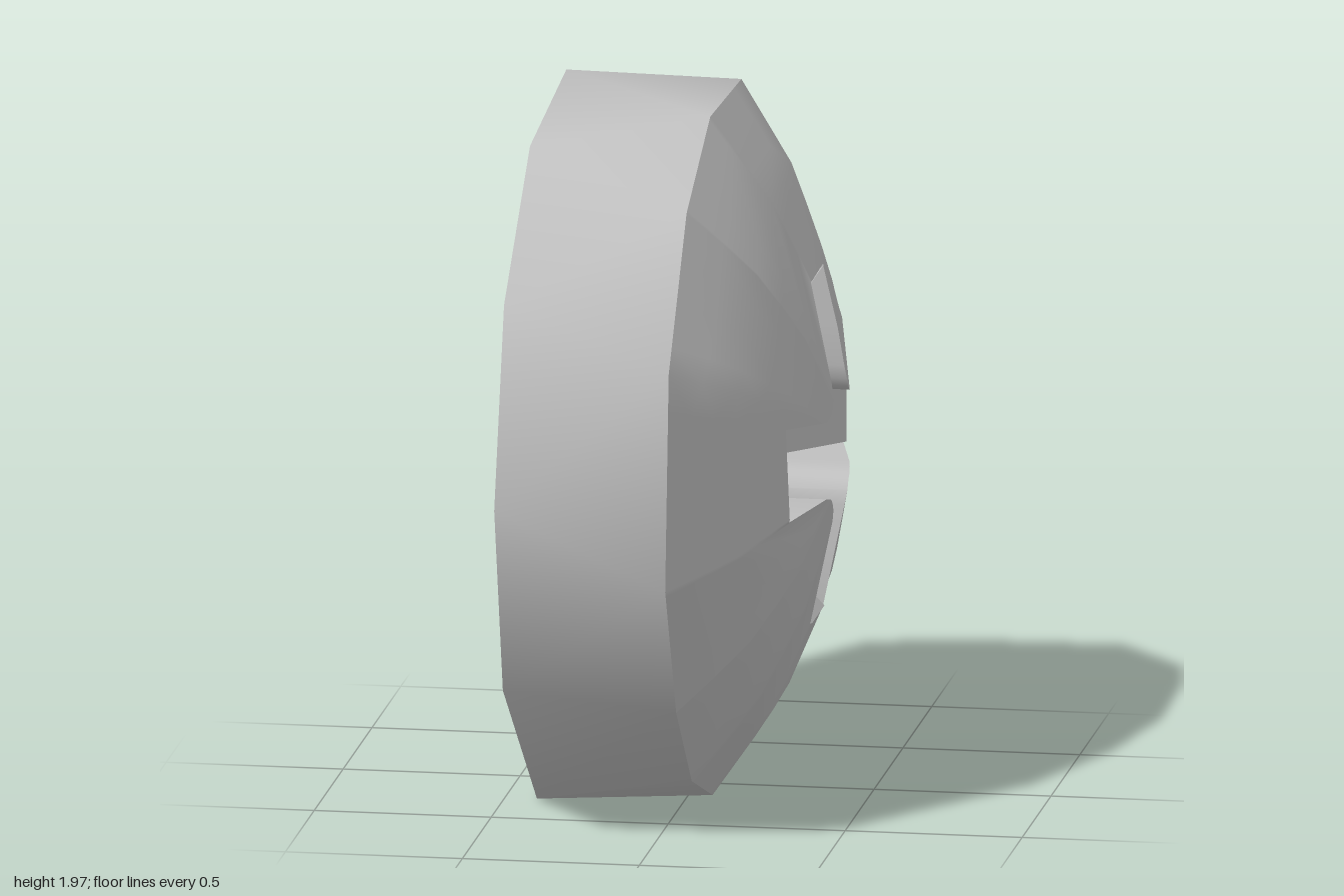
import * as THREE from 'three';
import { toCreasedNormals } from 'three/addons/utils/BufferGeometryUtils.js';

const CY = 0.985; // height of the head's axis, which runs along x
const angleOf = (p) => Math.atan2(p[1], p[0]);
const lerp = THREE.MathUtils.lerp;

// Cross-sections are [z, y] points, re-centred on the axis and sorted by angle
const ring = (pts) => pts.map(([z, y]) => [z, y - CY]).sort((a, b) => angleOf(a) - angleOf(b));

const frontRim = ring([[0.2, 1.96], [-0.34, 1.94], [-0.8, 1.57], [-0.985, 1.16], [-0.92, 0.59],
  [-0.61, 0.2], [-0.21, 0.02], [0.16, 0.005], [0.52, 0.13], [0.79, 0.39], [0.98, 0.78],
  [0.92, 1.39], [0.61, 1.78]]);
const backRim = ring([[-0.25, 1.97], [-0.73, 1.66], [-1, 1.14], [-0.83, 0.42], [-0.39, 0.07],
  [0.26, 0], [0.85, 0.45], [1, 1], [0.83, 1.55], [0.38, 1.9]]);

// Cross-shaped opening: four arms with rounded corners between them
const cross = [];
const arms = [];
for (let k = 0; k < 4; k++) {
  const c = Math.round(Math.cos(k * Math.PI / 2)), s = Math.round(Math.sin(k * Math.PI / 2));
  const turn = ([a, b]) => [a * c - b * s, a * s + b * c];
  const arm = [[0.2, -0.11], [0.49, -0.11], [0.49, k === 0 ? 0.155 : 0.11], [0.2, 0.11]].map(turn);
  arms.push(arm);
  cross.push(...arm, ...[[0.16, 0.12], [0.136, 0.136], [0.12, 0.16]].map(turn));
}

// Distance from the axis to a star-shaped outline along an angle
function reach(outline, angle) {
  const dx = Math.cos(angle), dy = Math.sin(angle);
  let best = 0;
  outline.forEach((p, i) => {
    const q = outline[(i + 1) % outline.length];
    const ex = q[0] - p[0], ey = q[1] - p[1];
    const den = dx * ey - dy * ex;
    if (Math.abs(den) < 1e-9) return;
    const r = (p[0] * ey - p[1] * ex) / den;
    const t = (p[0] * dy - p[1] * dx) / den;
    if (r > 0 && t > -1e-6 && t < 1 + 1e-6) best = Math.max(best, r);
  });
  return best;
}

// Dome height along x for a radius
const profile = [[0, 0.41], [0.2, 0.405], [0.49, 0.342], [0.75, 0.23], [0.98, 0.07]];
function domeX(r) {
  for (let i = 1; i < profile.length; i++) {
    const [r0, x0] = profile[i - 1], [r1, x1] = profile[i];
    if (r <= r1) return lerp(x0, x1, (r - r0) / (r1 - r0));
  }
  return 0.07;
}

// Recess depth: shallow at the arm tips, deep at the middle
function recessX([u, v]) {
  const m = Math.max(Math.abs(u), Math.abs(v));
  return lerp(0.08, 0.342, THREE.MathUtils.clamp((m - 0.2) / 0.29, 0, 1));
}

function geometryFrom(points, index) {
  const g = new THREE.BufferGeometry();
  g.setAttribute('position', new THREE.Float32BufferAttribute(points.flat(), 3));
  if (index) g.setIndex(index);
  g.computeVertexNormals();
  return g;
}
const at = (x, [u, v]) => [x, v + CY, u];

export function createModel() {
  const group = new THREE.Group();
  const steel = new THREE.MeshStandardMaterial({ color: 0xc0c0c0, side: THREE.DoubleSide });
  steel.name = 'steel grey';
  const add = (name, geometry) => {
    const mesh = new THREE.Mesh(geometry, steel);
    mesh.name = name;
    group.add(mesh);
  };

  // Domed face, from the cross opening out to the rim
  const angles = [...frontRim, ...cross].map(angleOf).sort((a, b) => a - b)
    .filter((a, i, list) => i === 0 || a - list[i - 1] > 1e-4);
  const n = angles.length, rows = 6;
  const points = [], index = [];
  for (let j = 0; j <= rows; j++) {
    for (const a of angles) {
      const R = reach(frontRim, a);
      const r = lerp(reach(cross, a), R, j / rows);
      points.push(at(domeX(r / R * 0.98), [r * Math.cos(a), r * Math.sin(a)]));
    }
  }
  for (let j = 0; j < rows; j++) {
    for (let i = 0; i < n; i++) {
      const a = j * n + i, b = j * n + (i + 1) % n;
      index.push(a, b + n, a + n, a, b, b + n);
    }
  }
  add('dome', geometryFrom(points, index));

  // Side band joining two rims with different numbers of corners
  const band = [];
  let f = 0, b = 0;
  const nf = frontRim.length, nb = backRim.length;
  const F = (i) => at(0.07, frontRim[i % nf]);
  const B = (i) => at(-0.41, backRim[i % nb]);
  const around = (list, i) => angleOf(list[i % list.length]) + (i >= list.length ? Math.PI * 2 : 0);
  while (f < nf || b < nb) {
    const moveBack = f >= nf || (b < nb && around(backRim, b + 1) < around(frontRim, f + 1));
    if (moveBack) band.push(B(b), F(f), B(++b));
    else band.push(B(b), F(f), F(++f));
  }
  add('sideBand', toCreasedNormals(geometryFrom(band), 0.7));

  // Recess walls, hanging from the edge of the opening
  const walls = [];
  for (let i = 0; i < n; i++) {
    const [T0, T1] = [points[i], points[(i + 1) % n]];
    const [D0, D1] = [T0, T1].map(([x, y, z]) => [Math.min(x, recessX([z, y - CY])), y, z]);
    walls.push(T0, D0, T1, T1, D0, D1);
  }
  add('recessWalls', toCreasedNormals(geometryFrom(walls), 0.6));

  // Sloping floors in three arms; the fourth is open
  arms.slice(1).forEach((arm, i) => {
    const [d0, t0, t1, d1] = arm.map((p) => at(recessX(p), p));
    add('recessFloor' + (i + 1), geometryFrom([d0, t1, t0, d0, d1, t1]));
  });

  return group;
}
